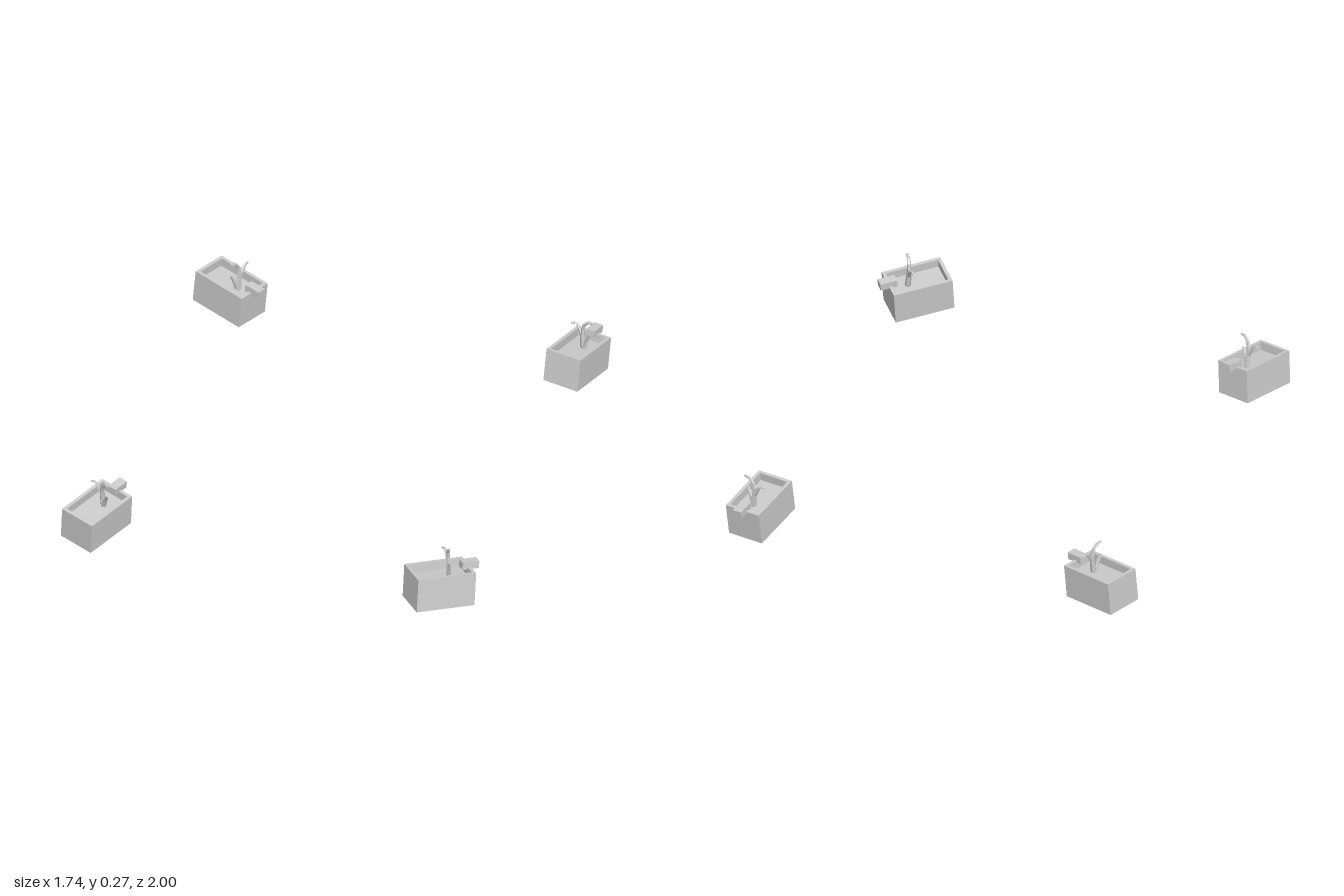
import * as THREE from 'three';

const L = 0.245, W = 0.155, H = 0.14, WALL = 0.014, FILL = 0.105;
const material = new THREE.MeshStandardMaterial({ color: 0xcccccc, flatShading: true });

function add(group, name, geometry, x = 0, y = 0, z = 0) {
  const mesh = new THREE.Mesh(geometry, material);
  mesh.name = name;
  mesh.position.set(x, y, z);
  group.add(mesh);
  return mesh;
}

// Curved low-poly stem whose radius shrinks from r0 to r1
function taperedStem(points, r0, r1, steps = 6, sides = 5) {
  const curve = new THREE.CatmullRomCurve3(points.map(p => new THREE.Vector3(...p)));
  const geometry = new THREE.TubeGeometry(curve, steps, 1, sides);
  const pos = geometry.attributes.position, v = new THREE.Vector3();
  for (let i = 0; i < pos.count; i++) {
    const t = Math.floor(i / (sides + 1)) / steps;
    const c = curve.getPointAt(t);
    v.fromBufferAttribute(pos, i).sub(c).multiplyScalar(r0 + (r1 - r0) * t).add(c);
    pos.setXYZ(i, v.x, v.y, v.z);
  }
  geometry.computeVertexNormals();
  return geometry;
}

function rectangle(path, w, l) {
  path.moveTo(-w / 2, -l / 2);
  path.lineTo(w / 2, -l / 2);
  path.lineTo(w / 2, l / 2);
  path.lineTo(-w / 2, l / 2);
  path.closePath();
  return path;
}

function createPlanter() {
  const planter = new THREE.Group();

  // Open box: walls with a filled bed below the rim
  const outline = rectangle(new THREE.Shape(), W, L);
  outline.holes.push(rectangle(new THREE.Path(), W - 2 * WALL, L - 2 * WALL));
  const walls = new THREE.ExtrudeGeometry(outline, { depth: H, bevelEnabled: false });
  walls.rotateX(-Math.PI / 2);
  add(planter, 'boxWalls', walls);
  add(planter, 'bed', new THREE.BoxGeometry(W - 2 * WALL, FILL, L - 2 * WALL), 0, FILL / 2, 0);

  // Block straddling the rim at one end
  add(planter, 'rimBlock', new THREE.BoxGeometry(0.038, 0.03, 0.07), 0, H + 0.006, -L / 2);

  // Stem hooking over to one side, with a shorter side shoot
  add(planter, 'mainStem', taperedStem(
    [[0.004, 0.095, -0.04], [-0.002, 0.15, -0.035], [-0.002, 0.195, -0.03],
      [0.012, 0.225, -0.025], [0.042, 0.232, -0.022]], 0.014, 0.005, 7));
  add(planter, 'sideShoot', taperedStem(
    [[0, 0.15, -0.035], [-0.02, 0.185, -0.034], [-0.038, 0.205, -0.032],
      [-0.058, 0.202, -0.028]], 0.01, 0.004));
  add(planter, 'lowShoot', taperedStem(
    [[0.002, 0.1, -0.036], [0.018, 0.145, -0.03], [0.034, 0.178, -0.022]], 0.011, 0.006, 4));
  return planter;
}

export function createModel() {
  const model = new THREE.Group();
  model.name = 'planters';

  // Centre x, z, base height, yaw, ground slope along x and z
  const placements = [
    ['backRightPlanter', -0.725, -0.847, 0.02, -1.97, -0.09, -0.01],
    ['backLeftPlanter', 0.727, -0.839, 0.026, -0.195, -0.05, 0.13],
    ['frontRightPlanter', -0.718, 0.807, 0.022, -0.377, -0.07, -0.10],
    ['frontLeftPlanter', 0.727, 0.845, 0.04, -0.875, 0, 0.15],
  ];
  const up = new THREE.Vector3(0, 1, 0);
  for (const [name, x, z, y, yaw, sx, sz] of placements) {
    const planter = createPlanter();
    planter.name = name;
    planter.position.set(x + sx * H / 2, y, z + sz * H / 2);
    planter.quaternion.setFromUnitVectors(up, new THREE.Vector3(-sx, 1, -sz).normalize())
      .multiply(new THREE.Quaternion().setFromAxisAngle(up, yaw));
    model.add(planter);
  }
  return model;
}
